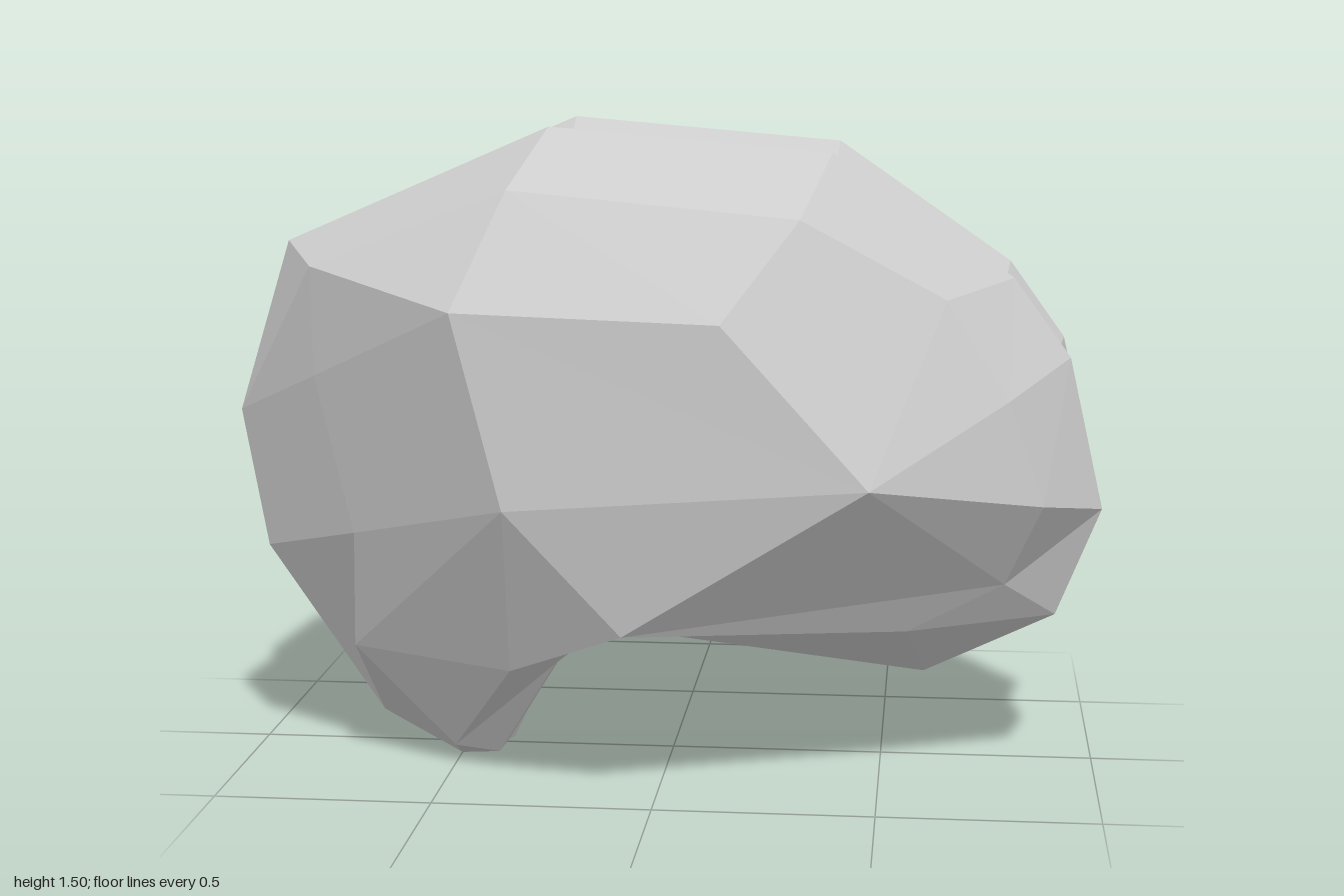
import * as THREE from 'three';

// Side plate corners, then two corners of the lower lobe
const A = [-0.42, 1.13, 0.63], B = [0.16, 1.11, 0.625], C = [0.48, 0.755, 0.615];
const D = [-0.06, 0.41, 0.56], E = [-0.31, 0.7, 0.63];
const lobe = [-0.33, 0.29, 0.42], tip = [-0.5, 0.045, 0.19];

// Each rib runs from the crest, over the shoulder, to a corner of the side
const ribs = [
  [[-0.87, 1.24, 0.2], [-0.78, 1.2, 0.38], A],
  [[-0.26, 1.505, 0.23], [-0.32, 1.38, 0.47], A],
  [[0.38, 1.45, 0.23], [0.32, 1.32, 0.46], B],
  [[0.79, 1.17, 0.185], [0.64, 1.14, 0.38], C],
  [[0.92, 0.99, 0.18], [0.78, 0.92, 0.39], C],
  [[1, 0.64, 0.165], [0.86, 0.68, 0.36], C],
  [[0.9, 0.385, 0.14], [0.78, 0.48, 0.26], C],
  [[0.6, 0.235, 0.11], [0.56, 0.37, 0.28], D],
  [[-0.13, 0.355, 0.19], [-0.1, 0.385, 0.37], D],
  [[-0.26, 0.25, 0.2], lobe, lobe],
  [[-0.41, 0.005, 0.1], tip, lobe],
  [[-0.5, 0, 0.1], tip, lobe],
  [[-0.69, 0.1, 0.09], [-0.73, 0.29, 0.22], lobe],
  [[-0.95, 0.51, 0.14], [-0.7, 0.585, 0.34], E],
  [[-1, 0.84, 0.17], [-0.78, 0.95, 0.36], A],
];

// Shrinks a crest point towards the middle to form the central groove
function inset([x, y], z, sx, top, bottom) {
  const k = y > 0.75 ? top : y > 0.2 ? bottom : 0.99;
  return [x * sx, 0.75 + (y - 0.75) * k, z];
}

function hemisphere(side) {
  const pos = [];
  const tri = (a, b, c) => {
    if (a === b || b === c || c === a) return;
    for (const p of side > 0 ? [a, b, c] : [a, c, b]) pos.push(p[0], p[1], p[2] * side);
  };

  // Groove floor, groove lip, crest, shoulder, side
  const rows = ribs.map(([crest, shoulder, outer]) => [
    inset(crest, 0, 0.95, 0.73, 0.88),
    inset(crest, 0.022, 0.975, 0.88, 1),
    crest, shoulder, outer,
  ]);
  rows.forEach((row, i) => {
    const next = rows[(i + 1) % rows.length];
    for (let j = 0; j < 4; j++) {
      tri(row[j], row[j + 1], next[j + 1]);
      tri(row[j], next[j + 1], next[j]);
    }
  });

  // Side plate and the gap down to the lower lobe
  tri(A, E, C);
  tri(E, D, C);
  tri(A, C, B);
  tri(E, lobe, D);

  const geometry = new THREE.BufferGeometry();
  geometry.setAttribute('position', new THREE.Float32BufferAttribute(pos, 3));
  geometry.computeVertexNormals();
  return geometry;
}

export function createModel() {
  const group = new THREE.Group();
  group.name = 'brain';
  const material = new THREE.MeshStandardMaterial({ color: 0xcccccc, flatShading: true });
  for (const [side, name] of [[1, 'frontHemisphere'], [-1, 'backHemisphere']]) {
    const mesh = new THREE.Mesh(hemisphere(side), material);
    mesh.name = name;
    group.add(mesh);
  }
  return group;
}
